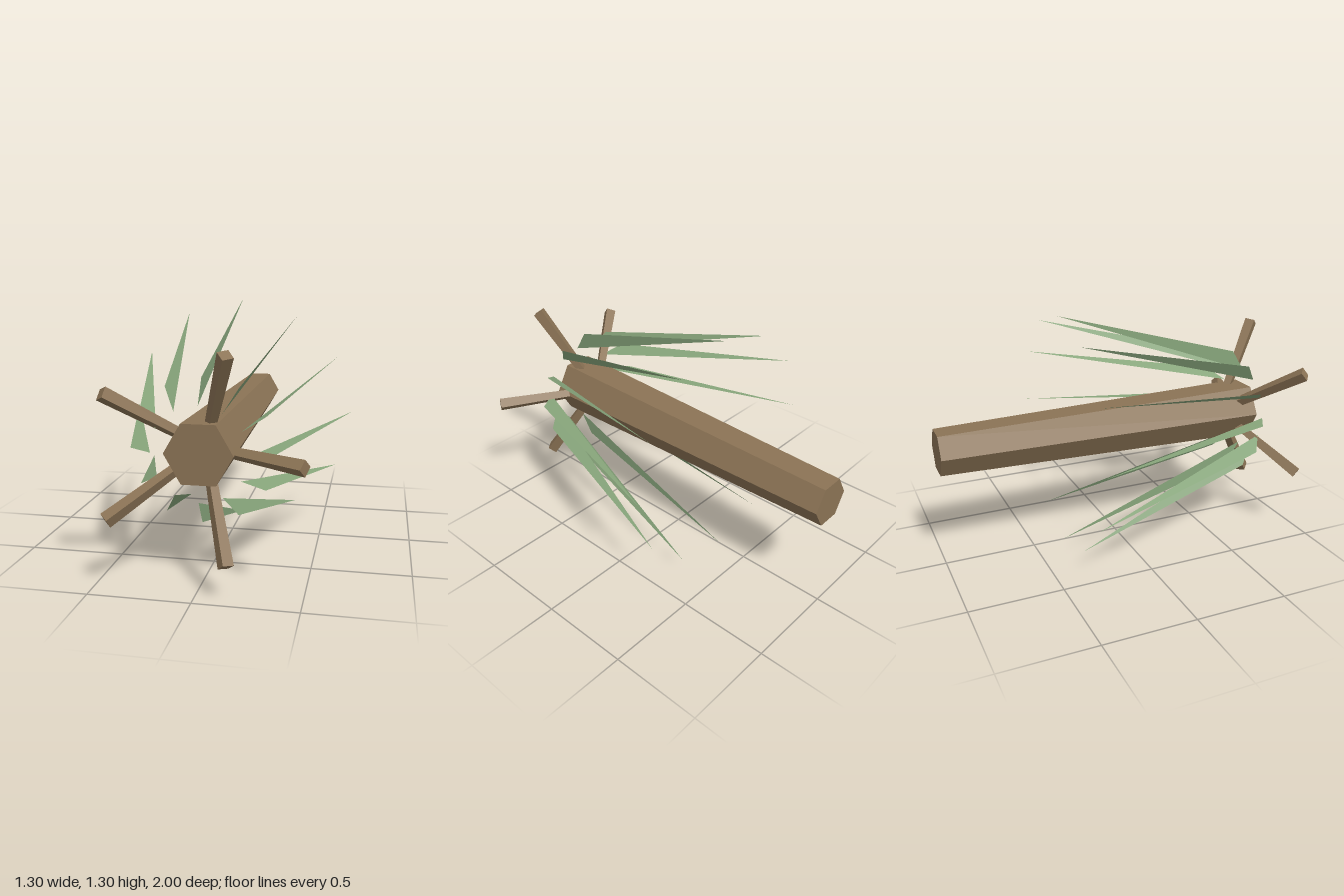
import * as THREE from 'three';

const CENTRE_Y = 0.6525;

// Copies of one geometry spaced evenly around the trunk axis (z)
function ring(name, geometry, material, count) {
  const group = new THREE.Group();
  group.name = name + 's';
  for (let i = 0; i < count; i++) {
    const mesh = new THREE.Mesh(geometry, material);
    mesh.name = name;
    mesh.rotation.z = (i / count) * Math.PI * 2;
    group.add(mesh);
  }
  return group;
}

export function createModel() {
  const model = new THREE.Group();
  model.name = 'fallenTree';
  const bark = new THREE.MeshStandardMaterial({ color: 0x8b7355, flatShading: true });
  const leaf = new THREE.MeshStandardMaterial({ color: 0x87a57b, flatShading: true, side: THREE.DoubleSide });

  const body = new THREE.Group();
  body.name = 'tree';
  body.position.y = CENTRE_Y;
  model.add(body);

  // Tapered hexagonal trunk lying along z, thick end at the front
  const trunkGeo = new THREE.CylinderGeometry(0.167, 0.125, 1.835, 6);
  trunkGeo.rotateY(Math.PI / 6).rotateX(Math.PI / 2).translate(0, 0, -0.0825);
  const trunk = new THREE.Mesh(trunkGeo, bark);
  trunk.name = 'trunk';
  body.add(trunk);

  // Square roots splaying outward and forward
  const rootLength = 0.485;
  const rootGeo = new THREE.CylinderGeometry(0.0395, 0.028, rootLength, 4);
  rootGeo.translate(0, rootLength / 2, 0).rotateZ(-Math.PI / 2).rotateY(-Math.PI / 6);
  rootGeo.translate(0.085, 0, 0.724);
  body.add(ring('root', rootGeo, bark, 5));

  // Flat blades in radial planes, sweeping back to a point
  const bladeGeo = new THREE.BufferGeometry();
  bladeGeo.setAttribute('position', new THREE.Float32BufferAttribute([
    0.6525, 0, -0.325,
    0.35, 0, 0.755,
    0.23, 0, 0.83,
  ], 3));
  bladeGeo.computeVertexNormals();
  body.add(ring('blade', bladeGeo, leaf, 12));

  return model;
}
